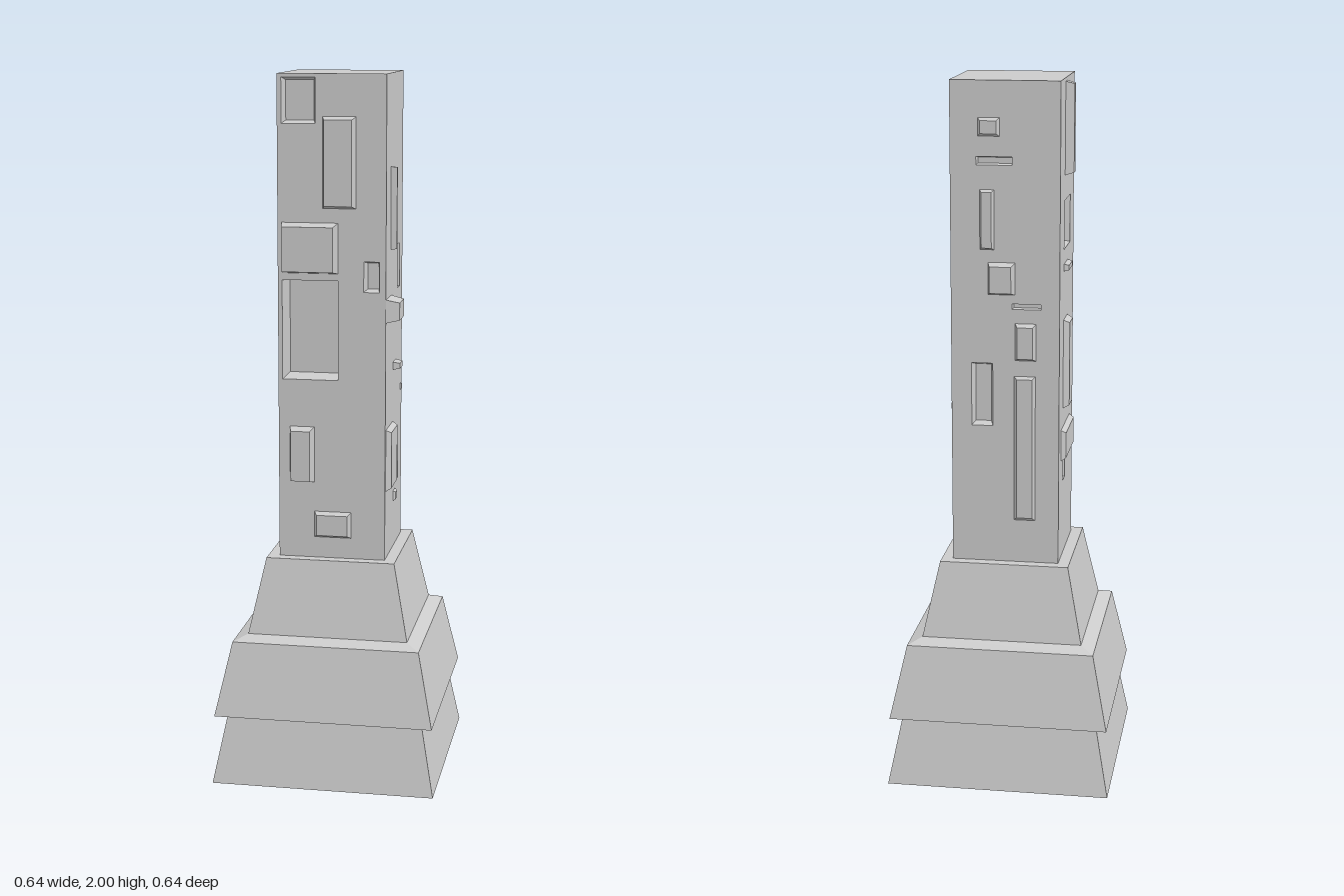
import * as THREE from 'three';

const material = new THREE.MeshStandardMaterial({ color: 0xcccccc, flatShading: true });
const HALF = 0.152, BOTTOM = 0.64, TOP = 2;

function addMesh(parent, geometry, name) {
  const mesh = new THREE.Mesh(geometry, material);
  mesh.name = name;
  parent.add(mesh);
}

// Tapered block on a wall; a negative depth turns it into a sunken pit.
function taperedBlock([u0, u1, y0, y1, depth]) {
  const t = Math.min(0.008, (u1 - u0) * 0.15, (y1 - y0) * 0.15);
  const ring = (i, z) => [
    [u0 + i, y0 + i, z], [u1 - i, y0 + i, z], [u1 - i, y1 - i, z], [u0 + i, y1 - i, z],
  ];
  const base = ring(0, HALF), tip = ring(t, HALF + depth);
  const positions = [];
  const quad = (a, b, c, d) => positions.push(...a, ...b, ...c, ...a, ...c, ...d);
  for (let i = 0; i < 4; i++) {
    const j = (i + 1) % 4;
    quad(base[i], base[j], tip[j], tip[i]);
  }
  quad(...tip);
  const geometry = new THREE.BufferGeometry();
  geometry.setAttribute('position', new THREE.Float32BufferAttribute(positions, 3));
  geometry.computeVertexNormals();
  return geometry;
}

// One side of the shaft: wall with openings, raised panels and recesses.
function makeSide({ name, turn, details }) {
  const side = new THREE.Group();
  side.name = name;
  const rectangle = (path, u0, u1, y0, y1) =>
    path.moveTo(u0, y0).lineTo(u1, y0).lineTo(u1, y1).lineTo(u0, y1).closePath();
  const wall = rectangle(new THREE.Shape(), -HALF, HALF, BOTTOM, TOP);
  for (const d of details) {
    if (d[4] < 0) wall.holes.push(rectangle(new THREE.Path(), ...d.slice(0, 4)));
    addMesh(side, taperedBlock(d), d[4] < 0 ? 'recess' : 'raisedPanel');
  }
  addMesh(side, new THREE.ShapeGeometry(wall).translate(0, 0, HALF), 'wall');
  side.rotation.y = turn;
  return side;
}

// Details per side: from and to across, from and to in height, depth.
const SIDES = [
  { name: 'frontSide', turn: 0, details: [
    [-0.14, -0.045, 1.865, 1.99, -0.025],
    [-0.025, 0.068, 1.635, 1.885, 0.026],
    [-0.14, 0.018, 1.455, 1.595, 0.042],
    [-0.14, 0.018, 1.155, 1.435, -0.07],
    [0.09, 0.134, 1.405, 1.49, -0.03],
    [-0.12, -0.05, 0.86, 1.02, 0.032],
    [-0.05, 0.055, 0.7, 0.775, 0.016],
  ] },
  { name: 'leftSide', turn: Math.PI / 2, details: [
    [-0.068, -0.056, 1.515, 1.745, 0.017],
    [0.06, 0.1, 1.39, 1.515, -0.02],
    [-0.148, -0.05, 1.32, 1.385, 0.037],
    [-0.015, 0.038, 1.165, 1.187, 0.02],
    [0.128, 0.138, 1.08, 1.098, 0.004],
    [-0.14, -0.015, 0.838, 1.015, 0.015],
    [0.052, 0.085, 0.825, 0.96, -0.02],
    [0, 0.036, 0.775, 0.805, 0.007],
  ] },
  { name: 'backSide', turn: Math.PI, details: [
    [-0.075, -0.015, 1.85, 1.9, 0.011],
    [-0.08, 0.02, 1.772, 1.795, -0.015],
    [-0.07, -0.03, 1.54, 1.705, 0.013],
    [-0.048, 0.028, 1.415, 1.505, 0.027],
    [0.02, 0.1, 1.375, 1.39, -0.015],
    [0.028, 0.087, 1.23, 1.335, 0.018],
    [-0.095, -0.035, 1.04, 1.22, -0.025],
    [0.025, 0.085, 0.765, 1.185, 0.007],
  ] },
  { name: 'rightSide', turn: -Math.PI / 2, details: [
    [-0.05, -0.01, 1.735, 1.99, 0.024],
    [-0.06, 0.07, 1.53, 1.665, -0.035],
    [-0.06, 0.02, 1.468, 1.488, 0.014],
    [-0.065, 0.02, 1.075, 1.33, 0.017],
    [-0.105, 0.085, 0.93, 1.02, 0.014],
    [-0.06, -0.02, 0.86, 0.92, -0.02],
  ] },
];

export function createModel() {
  const model = new THREE.Group();
  model.name = 'tower';

  // Stepped square base, as half-width and height
  const profile = [
    [0, 0], [0.318, 0], [0.279, 0.2], [0.312, 0.2], [0.267, 0.41],
    [0.229, 0.425], [0.184, BOTTOM], [0, BOTTOM],
  ].map(([half, y]) => new THREE.Vector2(half * Math.SQRT2, y));
  const base = new THREE.LatheGeometry(profile, 4, Math.PI / 4).toNonIndexed();
  base.computeVertexNormals();
  addMesh(model, base, 'steppedBase');

  // Shaft
  const shaft = new THREE.Group();
  shaft.name = 'shaft';
  SIDES.forEach((side) => shaft.add(makeSide(side)));
  const roof = new THREE.PlaneGeometry(HALF * 2, HALF * 2).rotateX(-Math.PI / 2);
  addMesh(shaft, roof.translate(0, TOP, 0), 'roof');
  model.add(shaft);
  return model;
}
